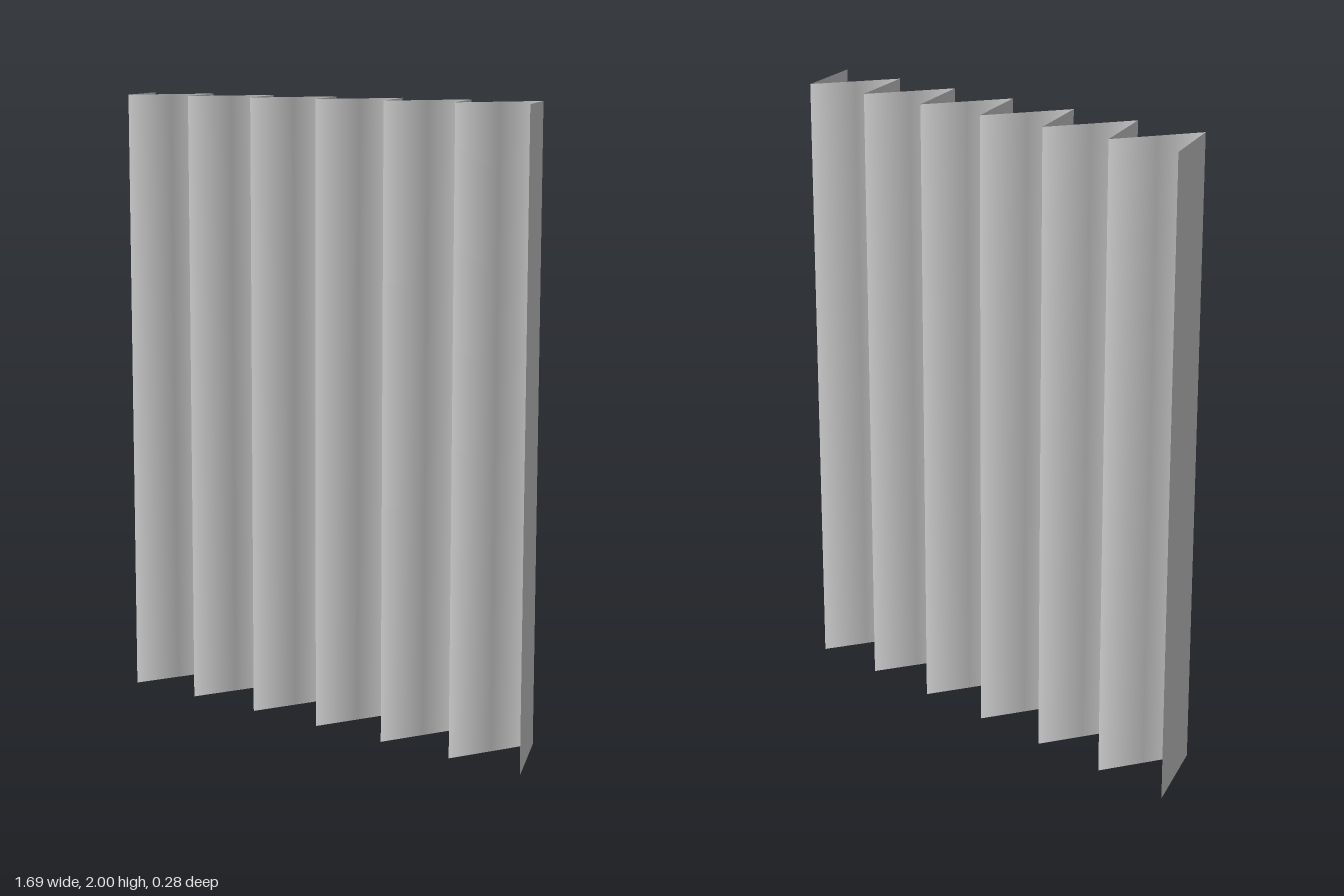
import * as THREE from 'three';

const PANELS = 13;
const WIDTH = 1.69;
const HEIGHT = 2;
const DEPTH = 0.275;

export function createModel() {
  const group = new THREE.Group();
  group.name = 'pleatedScreen';

  // Thin sheet: each panel has one column of vertices along its middle
  const geometry = new THREE.PlaneGeometry(WIDTH, HEIGHT, PANELS * 2, 1);
  const pos = geometry.attributes.position;
  const normal = geometry.attributes.normal;
  const columns = PANELS * 2 + 1;
  const panelNormal = new THREE.Vector2(DEPTH, WIDTH / PANELS).normalize();

  for (let i = 0; i < pos.count; i++) {
    const c = i % columns;
    // Fold: back crease, middle, front crease, middle, ...
    pos.setZ(i, [-0.5, 0, 0.5, 0][c % 4] * DEPTH);

    // Soft shading over creases, true panel normal at middles and free ends
    const isInnerCrease = c % 2 === 0 && c > 0 && c < columns - 1;
    if (isInnerCrease) {
      normal.setXYZ(i, 0, 0, 1);
    } else {
      const panel = Math.min(Math.floor(c / 2), PANELS - 1);
      const side = panel % 2 === 0 ? -1 : 1;
      normal.setXYZ(i, side * panelNormal.x, 0, panelNormal.y);
    }
  }
  geometry.translate(0, HEIGHT / 2, 0);

  const sheet = new THREE.Mesh(
    geometry,
    new THREE.MeshStandardMaterial({ color: 0xcccccc, side: THREE.DoubleSide })
  );
  sheet.name = 'pleatedSheet';
  group.add(sheet);
  return group;
}
